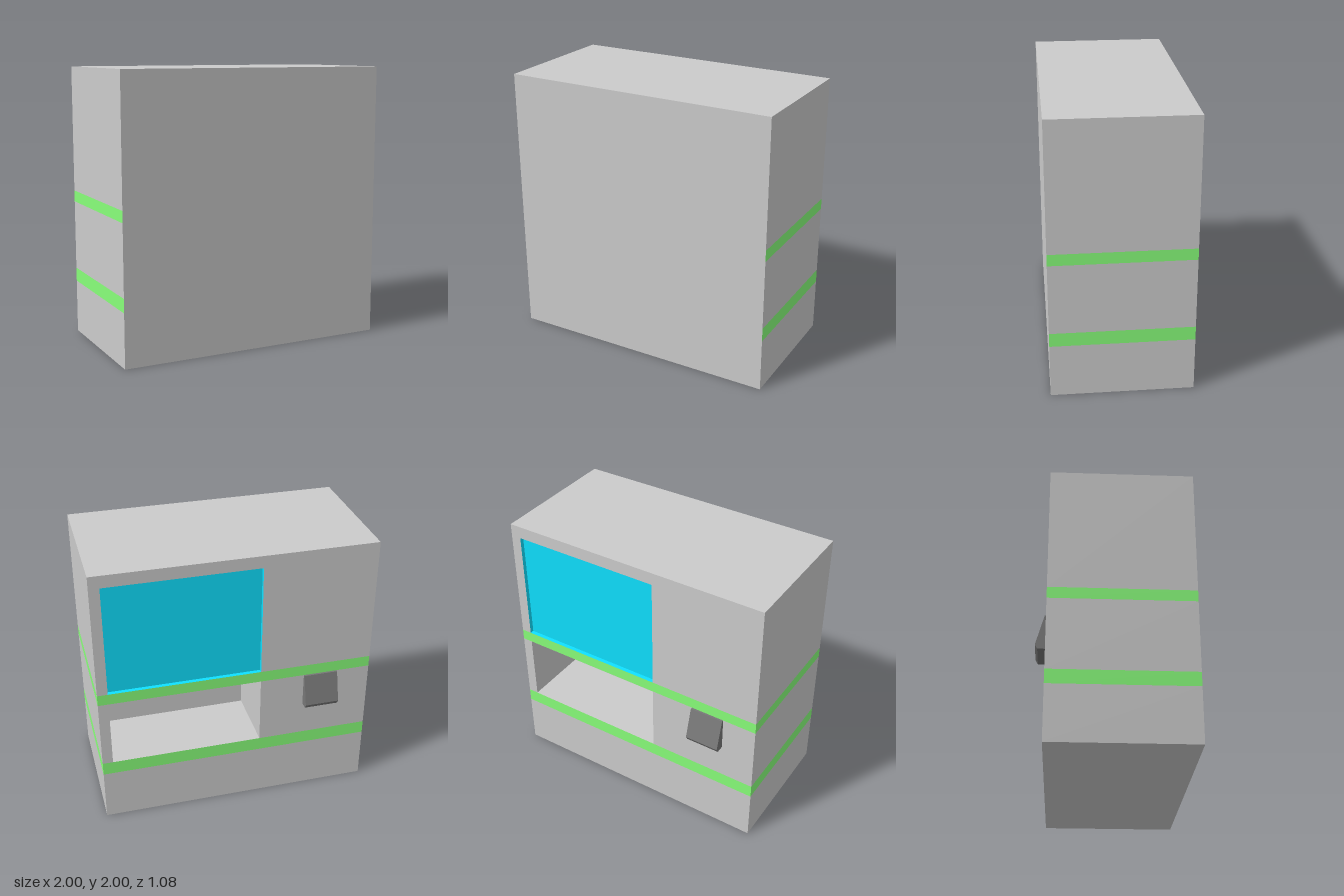
import * as THREE from 'three';

const W = 2, H = 2, FRONT = 0.5375, BACK = -0.4625;
const DEPTH = FRONT - BACK, MID = (FRONT + BACK) / 2;
const X0 = -0.175, X1 = 0.925; // sides of window and tray opening

const mat = (color) => new THREE.MeshStandardMaterial({ color });

// Flat rectangle facing +z, then turned by rx / ry
function panel(group, name, material, w, h, [x, y, z], rx = 0, ry = 0) {
  const mesh = new THREE.Mesh(new THREE.PlaneGeometry(w, h), material);
  mesh.name = name;
  mesh.position.set(x, y, z);
  mesh.rotation.set(rx, ry, 0);
  group.add(mesh);
}

// Rectangle on the back face, given by its limits
function backPanel(group, name, material, x0, x1, y0, y1, z = BACK) {
  panel(group, name, material, x1 - x0, y1 - y0, [(x0 + x1) / 2, (y0 + y1) / 2, z], 0, Math.PI);
}

// Pocket sunk into the back face: four walls and an inner face
function recess(name, material, y0, y1, depth) {
  const g = new THREE.Group();
  g.name = name;
  const q = Math.PI / 2, z = BACK + depth / 2, x = (X0 + X1) / 2, y = (y0 + y1) / 2;
  backPanel(g, name + 'Face', material, X0, X1, y0, y1, BACK + depth);
  panel(g, name + 'Floor', material, X1 - X0, depth, [x, y0, z], -q);
  panel(g, name + 'Ceiling', material, X1 - X0, depth, [x, y1, z], q);
  panel(g, name + 'RightWall', material, depth, y1 - y0, [X0, y, z], 0, q);
  panel(g, name + 'LeftWall', material, depth, y1 - y0, [X1, y, z], 0, -q);
  return g;
}

export function createModel() {
  const model = new THREE.Group();
  const grey = mat(0xcccccc), green = mat(0x88ff7a), cyan = mat(0x0fe0ff), dark = mat(0x777777);
  const q = Math.PI / 2;

  // Plain front, top and bottom of the cabinet
  const cabinet = new THREE.Group();
  cabinet.name = 'cabinet';
  model.add(cabinet);
  panel(cabinet, 'frontPanel', grey, W, H, [0, H / 2, FRONT]);
  panel(cabinet, 'topPanel', grey, W, DEPTH, [0, H, MID], -q);
  panel(cabinet, 'bottomPanel', grey, W, DEPTH, [0, 0, MID], q);

  // Horizontal layers of sides and back; hole = height of the cut-out's upper edge
  const layers = [
    { name: 'base', y0: 0, y1: 0.39, material: grey },
    { name: 'lowerStripe', y0: 0.39, y1: 0.49, material: green },
    { name: 'tray', y0: 0.49, y1: 1.0, material: grey, hole: 1.0 },
    { name: 'upperStripe', y0: 1.0, y1: 1.082, material: green },
    { name: 'upper', y0: 1.082, y1: H, material: grey, hole: 1.91 },
  ];
  for (const { name, y0, y1, material, hole } of layers) {
    for (const s of [-1, 1]) {
      panel(cabinet, name + (s > 0 ? 'LeftSide' : 'RightSide'), material, DEPTH, y1 - y0,
        [s * W / 2, (y0 + y1) / 2, MID], 0, s * q);
    }
    if (!hole) {
      backPanel(cabinet, name + 'Back', material, -W / 2, W / 2, y0, y1);
      continue;
    }
    backPanel(cabinet, name + 'BackRight', material, -W / 2, X0, y0, y1);
    backPanel(cabinet, name + 'BackLeft', material, X1, W / 2, y0, y1);
    if (hole < y1) backPanel(cabinet, name + 'BackTop', material, X0, X1, hole, y1);
  }

  // Shallow screen and deep tray
  model.add(recess('screen', cyan, 1.082, 1.91, 0.03));
  model.add(recess('trayOpening', grey, 0.49, 1.0, 0.5));

  // Sloped keypad: side profile (outward, up) extruded across x
  const profile = [[0, 0.75], [0.058, 0.75], [0.075, 0.78], [0.015, 1], [0, 1]];
  const shape = new THREE.Shape(profile.map(([o, y]) => new THREE.Vector2(o, y)));
  const keypad = new THREE.Mesh(
    new THREE.ExtrudeGeometry(shape, { depth: 0.25, bevelEnabled: false }), dark);
  keypad.name = 'keypad';
  keypad.rotation.y = q;
  keypad.position.set(-0.75, 0, BACK);
  model.add(keypad);

  return model;
}
